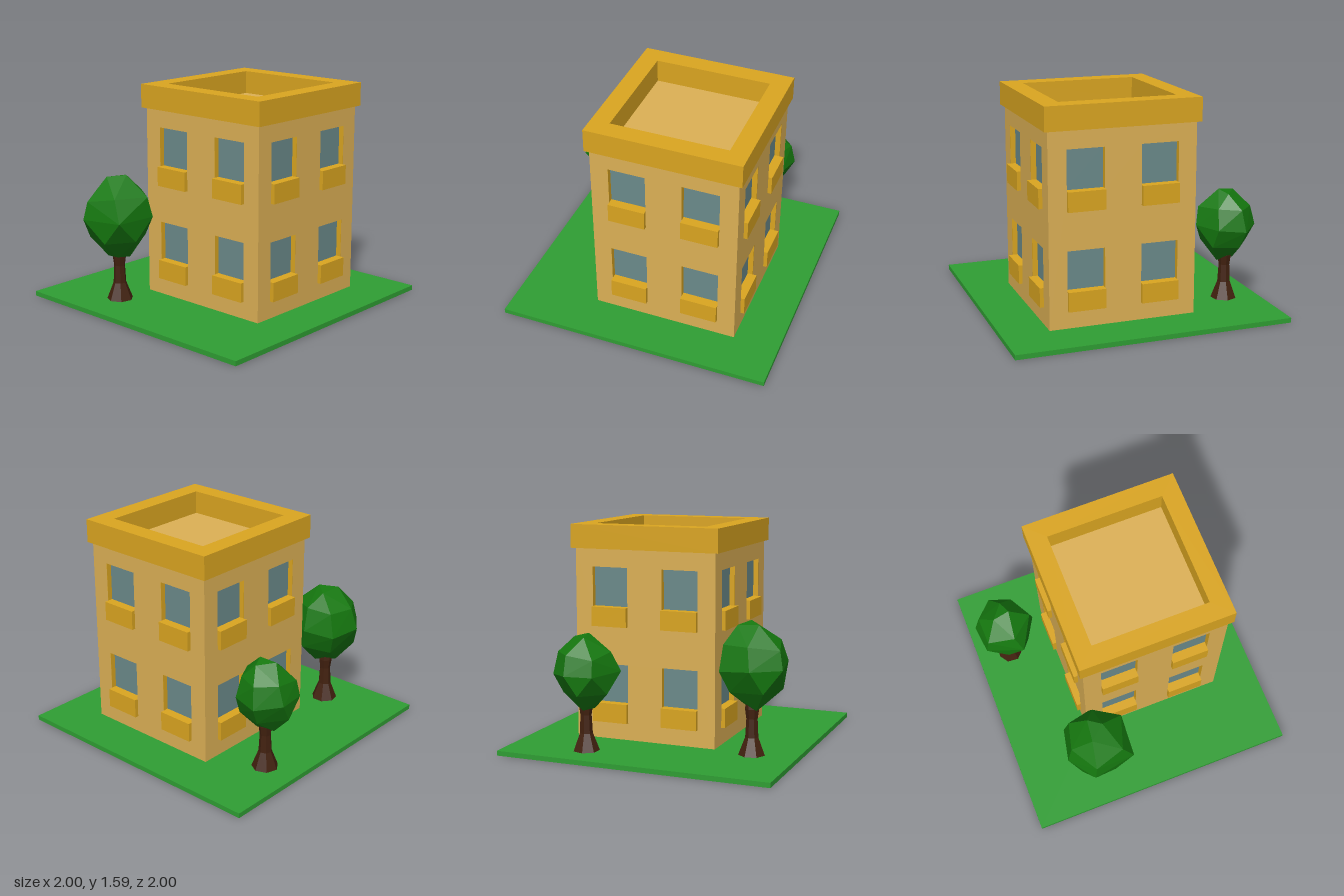
import * as THREE from 'three';
import { ConvexGeometry } from 'three/addons/geometries/ConvexGeometry.js';

const mat = (color, extra = {}) => new THREE.MeshStandardMaterial({ color, ...extra });
const MATS = {
  grass: mat(0x2f9e33),
  wall: mat(0xdcb055),
  trim: mat(0xdaa520),
  glass: mat(0x6b8a8a),
  bark: mat(0x42210f, { flatShading: true, side: THREE.DoubleSide }),
  leaf: mat(0x15780f, { flatShading: true }),
};

const GROUND = 0.035, HALF = 0.533, EAVES = 1.416;
const WIN_W = 0.27, WIN_H = 0.285, WIN_X = 0.267, DEPTH = 0.04;
const SILLS = [0.30, 1.0];

function add(parent, name, geometry, material, x = 0, y = 0, z = 0) {
  const mesh = new THREE.Mesh(geometry, material);
  mesh.name = name;
  mesh.position.set(x, y, z);
  parent.add(mesh);
  return mesh;
}

// Rectangle as a Shape or a hole Path, given its corner and size
function rect(Type, x, y, w, h) {
  return new Type([[x, y], [x + w, y], [x + w, y + h], [x, y + h]].map(p => new THREE.Vector2(...p)));
}

// Recessed pane, its reveal and the planter box below it; origin at the sill centre on the wall face
function makeWindow() {
  const g = new THREE.Group();
  g.name = 'window';
  const b = 0.02;
  const ring = rect(THREE.Shape, -WIN_W / 2 - b, -b, WIN_W + 2 * b, WIN_H + 2 * b);
  ring.holes.push(rect(THREE.Path, -WIN_W / 2, 0, WIN_W, WIN_H));
  const reveal = new THREE.ExtrudeGeometry(ring, { depth: DEPTH, bevelEnabled: false });
  add(g, 'windowReveal', reveal, MATS.trim, 0, 0, -DEPTH - 0.002);
  add(g, 'windowPane', new THREE.PlaneGeometry(WIN_W, WIN_H), MATS.glass, 0, WIN_H / 2, -DEPTH);
  add(g, 'windowBox', new THREE.BoxGeometry(WIN_W, 0.14, 0.028 + DEPTH), MATS.trim, 0, -0.07, (0.028 - DEPTH) / 2);
  return g;
}

// One side of the building with four window openings
function makeFacade(name) {
  const g = new THREE.Group();
  g.name = name;
  const shape = rect(THREE.Shape, -HALF, GROUND, 2 * HALF, EAVES - GROUND);
  for (const y of SILLS) for (const x of [-WIN_X, WIN_X]) {
    shape.holes.push(rect(THREE.Path, x - WIN_W / 2, y, WIN_W, WIN_H));
    const win = makeWindow();
    win.position.set(x, y, HALF);
    g.add(win);
  }
  add(g, 'wall', new THREE.ShapeGeometry(shape), MATS.wall, 0, 0, HALF);
  return g;
}

function makeBuilding() {
  const g = new THREE.Group();
  g.name = 'building';
  ['frontFacade', 'leftFacade', 'backFacade', 'rightFacade'].forEach((name, i) => {
    const facade = makeFacade(name);
    facade.rotation.y = i * Math.PI / 2;
    g.add(facade);
  });
  // Flat roof sunk inside a square parapet
  const roof = new THREE.PlaneGeometry(2 * HALF, 2 * HALF).rotateX(-Math.PI / 2);
  add(g, 'roof', roof, MATS.wall, 0, EAVES, 0);
  const ring = rect(THREE.Shape, -0.56, -0.56, 1.12, 1.12);
  ring.holes.push(rect(THREE.Path, -0.423, -0.423, 0.846, 0.846));
  const parapet = new THREE.ExtrudeGeometry(ring, { depth: 0.17, bevelEnabled: false }).rotateX(-Math.PI / 2);
  add(g, 'parapet', parapet, MATS.trim, 0, 1.415, 0);
  return g;
}

// Irregular faceted crown, as offsets from its centre, from top to bottom
const CROWN = [
  [0.06, 0.305, -0.03], [-0.05, 0.29, 0.06], [-0.03, 0.28, -0.1],
  [0.22, 0.16, -0.08], [0.14, 0.17, 0.16], [-0.08, 0.13, 0.22],
  [-0.2, 0.16, 0.03], [-0.15, 0.16, -0.16], [0.04, 0.17, -0.19],
  [0.03, 0, -0.24], [0.23, 0.01, -0.12], [0.215, 0.01, 0.19],
  [-0.1, 0, 0.245], [-0.24, 0, 0.055], [-0.19, -0.02, -0.175],
  [0.21, -0.15, 0.03], [0.07, -0.16, 0.2], [-0.165, -0.16, 0.13],
  [-0.13, -0.17, -0.12], [0.08, -0.16, -0.19],
  [0.06, -0.305, -0.05], [-0.06, -0.3, 0.05], [0.05, -0.29, 0.06],
].map(p => new THREE.Vector3(...p));

function makeTree(name, x, z, crownY, size, turn) {
  const g = new THREE.Group();
  g.name = name;
  g.position.set(x, 0, z);
  g.rotation.y = turn;
  // Trunk flares at the root and again under the crown
  const profile = [[0.095, GROUND], [0.047, 0.16], [0.04, 0.29], [0.05, 0.36], [0.04, 0.45]];
  const trunk = new THREE.LatheGeometry(profile.map(p => new THREE.Vector2(...p)), 7);
  add(g, 'trunk', trunk, MATS.bark);
  const crown = add(g, 'crown', new ConvexGeometry(CROWN), MATS.leaf, 0, crownY, 0);
  crown.scale.set(...size);
  return g;
}

export function createModel() {
  const model = new THREE.Group();
  model.name = 'apartmentBlock';
  add(model, 'lawn', new THREE.BoxGeometry(2, GROUND, 2), MATS.grass, 0, GROUND / 2, 0);
  const building = makeBuilding();
  building.position.set(0.132, 0, -0.133);
  model.add(building);
  model.add(makeTree('frontTree', -0.42, 0.68, 0.66, [1, 1, 1], 0));
  model.add(makeTree('sideTree', -0.745, -0.43, 0.593, [0.87, 0.87, 0.87], -0.53));
  return model;
}
